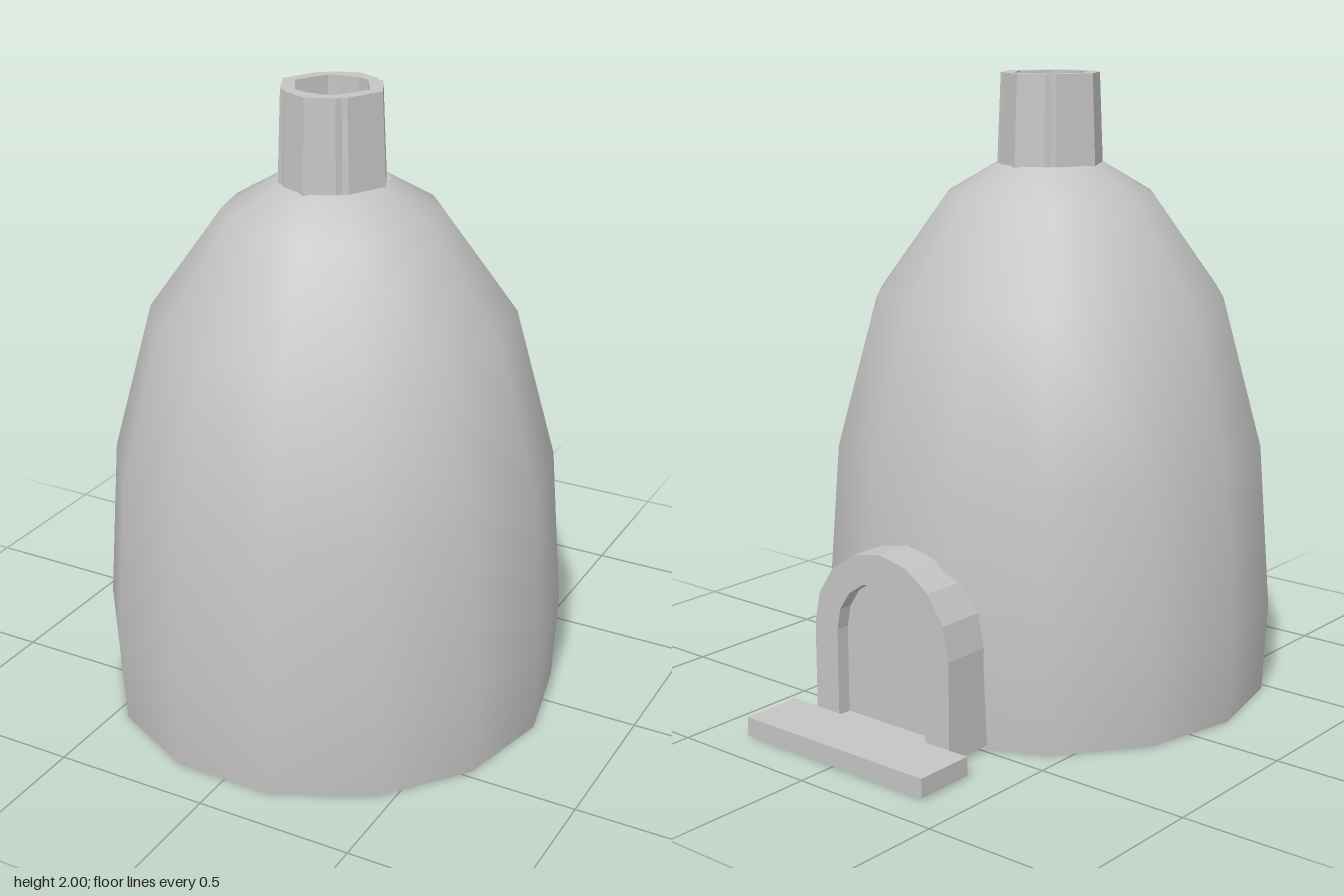
import * as THREE from 'three';

const CENTRE_Z = 0.16;

// Round-headed outline standing on y = bottom, with its arch centred at y = 0.33
function archPoints(radius, bottom) {
  const points = [new THREE.Vector2(-radius, bottom), new THREE.Vector2(radius, bottom)];
  for (let i = 0; i <= 8; i++) {
    const a = (i / 8) * Math.PI;
    points.push(new THREE.Vector2(radius * Math.cos(a), 0.33 + radius * Math.sin(a)));
  }
  return points;
}

// Extrudes a shape from z = back to z = front
function slab(shape, back, front) {
  const geometry = new THREE.ExtrudeGeometry(shape, { depth: front - back, bevelEnabled: false });
  return geometry.translate(0, 0, back);
}

export function createModel() {
  const group = new THREE.Group();
  const clay = new THREE.MeshStandardMaterial({ color: 0xc4c4c4 });
  clay.name = 'grey clay';

  function add(name, geometry, x = 0, y = 0, z = 0) {
    const mesh = new THREE.Mesh(geometry, clay);
    mesh.name = name;
    mesh.position.set(x, y, z);
    group.add(mesh);
    return mesh;
  }

  // Smooth fourteen-sided dome with a vertex on the x axis
  const profile = [
    [0.72, 0], [0.735, 0.29], [0.695, 0.82], [0.565, 1.3], [0.335, 1.62], [0.175, 1.715],
  ].map(([r, y]) => new THREE.Vector2(r, y));
  add('dome', new THREE.LatheGeometry(profile, 14, Math.PI / 2), 0, 0, CENTRE_Z);

  // Flat underside, and the floor inside the chimney
  const base = new THREE.CircleGeometry(0.72, 14).rotateX(Math.PI / 2);
  add('base', base, 0, 0, CENTRE_Z);
  const cap = new THREE.CircleGeometry(0.175, 14).rotateX(-Math.PI / 2);
  add('chimneyFloor', cap, 0, 1.715, CENTRE_Z);

  // Chimney: octagon with notched diagonal corners, mirrored from one quadrant
  const quadrant = [[0.18, 0], [0.12, 0.12], [0.102, 0.125], [0.09, 0.143], [0, 0.18]];
  const outline = [];
  for (let q = 0; q < 4; q++) {
    const sx = q === 0 || q === 3 ? 1 : -1;
    const sy = q < 2 ? 1 : -1;
    const corners = q % 2 ? [...quadrant].reverse() : quadrant;
    corners.slice(0, -1).forEach(([x, y]) => outline.push(new THREE.Vector2(x * sx, y * sy)));
  }
  const chimneyShape = new THREE.Shape(outline);
  const flue = [[0.125, 0], [0.068, 0.098], [0.03, 0.112], [-0.03, 0.112], [-0.068, 0.098],
    [-0.125, 0], [-0.068, -0.098], [-0.03, -0.112], [0.03, -0.112], [0.068, -0.098]];
  chimneyShape.holes.push(new THREE.Path(flue.map(([x, y]) => new THREE.Vector2(x, y))));
  const chimney = slab(chimneyShape, 0, 0.29).rotateX(-Math.PI / 2);
  // Taper the outside towards the top
  const p = chimney.attributes.position;
  for (let i = 0; i < p.count; i++) {
    const outside = Math.hypot(p.getX(i), p.getZ(i)) > 0.14;
    const s = outside ? 1 - 0.07 * (p.getY(i) / 0.29) : 1;
    p.setXYZ(i, p.getX(i) * s, p.getY(i), p.getZ(i) * s);
  }
  chimney.computeVertexNormals();
  add('chimney', chimney, 0, 1.71, CENTRE_Z);

  // Arched doorway at the back with a recessed door
  const frame = new THREE.Shape(archPoints(0.275, 0.015));
  frame.holes.push(new THREE.Path(archPoints(0.18, 0.05)));
  add('doorFrame', slab(frame, -0.66, -0.45));
  add('door', slab(new THREE.Shape(archPoints(0.19, 0.04)), -0.615, -0.46));

  // Low step in front of the door
  add('step', new THREE.BoxGeometry(0.72, 0.06, 0.2), 0, 0.035, -0.777);

  return group;
}
